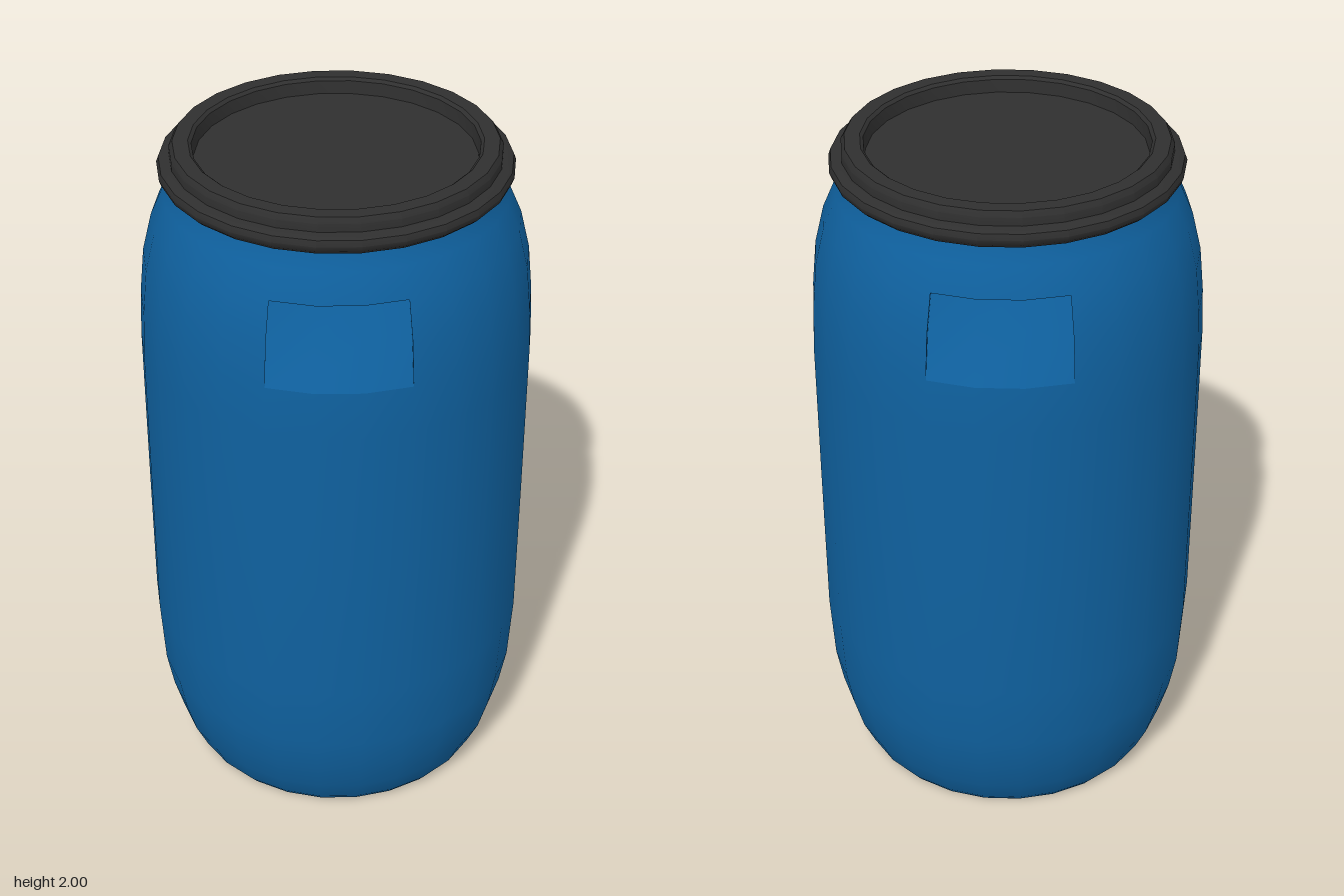
import * as THREE from 'three';
import { toCreasedNormals } from 'three/addons/utils/BufferGeometryUtils.js';

const SEGMENTS = 26;
const STEP = (Math.PI * 2) / SEGMENTS;
const START = -1.5 * STEP; // three facets are centred on the front
const blue = new THREE.MeshStandardMaterial({ color: 0x0f619f });
blue.name = 'bluePlastic';
blue.side = THREE.DoubleSide;
const black = new THREE.MeshStandardMaterial({ color: 0x2f2f2f });
black.name = 'blackPlastic';

// Barrel profile as [radius, height], from the underside up to the neck
const PROFILE = [
  [0, 0.05], [0.33, 0.05], [0.36, 0.035], [0.39, 0.005], [0.41, 0], [0.438, 0], [0.458, 0.025],
  [0.492, 0.1], [0.52, 0.2], [0.54, 0.31], [0.552, 0.51], [0.553, 0.95], [0.553, 1.4],
  [0.547, 1.54], [0.534, 1.67], [0.507, 1.78], [0.472, 1.86], [0.447, 1.91], [0.445, 1.95],
];
const ROW0 = 13, ROW1 = 15; // rows spanned by the hand grips

const lathe = (profile) => new THREE.LatheGeometry(
  profile.map(([r, y]) => new THREE.Vector2(r, y)), SEGMENTS, START, Math.PI * 2);

function mesh(name, geometry, material) {
  const m = new THREE.Mesh(geometry, material);
  m.name = name;
  return m;
}

// Barrel with the grip openings left out of its faces
function bodyGeometry() {
  const geometry = lathe(PROFILE);
  const n = PROFILE.length;
  const index = [];
  const old = geometry.index.array;
  for (let f = 0; f < old.length; f += 6) {
    const quad = f / 6;
    const seg = Math.floor(quad / (n - 1)), row = quad % (n - 1);
    const inGrip = seg % (SEGMENTS / 2) < 3 && row >= ROW0 && row < ROW1;
    if (!inGrip) index.push(...old.slice(f, f + 6));
  }
  geometry.setIndex(index);
  return geometry;
}

// Grid surface from a point function; u runs right and v runs up, seen from its front
function grid(cols, rows, point) {
  const positions = [], index = [];
  for (let v = 0; v <= rows; v++) {
    for (let u = 0; u <= cols; u++) positions.push(...point(u, v));
  }
  for (let v = 0; v < rows; v++) {
    for (let u = 0; u < cols; u++) {
      const a = v * (cols + 1) + u, b = a + 1, c = a + cols + 1, d = c + 1;
      index.push(a, b, d, a, d, c);
    }
  }
  const geometry = new THREE.BufferGeometry();
  geometry.setAttribute('position', new THREE.Float32BufferAttribute(positions, 3));
  geometry.setIndex(index);
  geometry.computeVertexNormals();
  return geometry;
}

// Recessed hand grip: sloping floor, overhanging ledge and two side walls
function makeGrip(name) {
  const rows = ROW1 - ROW0;
  const outer = (u, v) => {
    const [r, y] = PROFILE[ROW0 + v];
    const phi = START + u * STEP;
    return [r * Math.sin(phi), y, r * Math.cos(phi)];
  };
  const inner = (u, v) => {
    const [x, y, z] = outer(u, v);
    const t = (y - PROFILE[ROW0][1]) / (PROFILE[ROW1][1] - PROFILE[ROW0][1]);
    return [x, y, THREE.MathUtils.lerp(z, 0.425, t)];
  };
  const grip = new THREE.Group();
  grip.name = name;
  grip.add(
    mesh('gripFloor', grid(3, rows, inner), blue),
    mesh('gripLedge', grid(3, 1, (u, v) => (v ? outer : inner)(u, rows)), blue),
    mesh('gripWallRight', grid(1, rows, (u, v) => (u ? inner : outer)(0, v)), blue),
    mesh('gripWallLeft', grid(1, rows, (u, v) => (u ? outer : inner)(3, v)), blue),
  );
  return grip;
}

export function createModel() {
  const barrel = new THREE.Group();
  barrel.name = 'barrel';
  barrel.add(mesh('body', bodyGeometry(), blue));

  const frontGrip = makeGrip('frontGrip');
  const backGrip = makeGrip('backGrip');
  backGrip.rotation.y = Math.PI;
  barrel.add(frontGrip, backGrip);

  // Clamping ring around the neck
  const ring = lathe([
    [0.44, 1.912], [0.466, 1.91], [0.479, 1.922], [0.485, 1.938],
    [0.479, 1.954], [0.462, 1.962], [0.44, 1.962],
  ]);
  barrel.add(mesh('clampRing', toCreasedNormals(ring, 0.75), black));

  // Lid with a raised rim and a sunken centre
  const lid = lathe([
    [0.45, 1.955], [0.45, 1.985], [0.44, 2], [0.398, 2], [0.389, 1.992], [0.384, 1.955], [0, 1.955],
  ]);
  barrel.add(mesh('lid', toCreasedNormals(lid, 0.6), black));
  return barrel;
}
